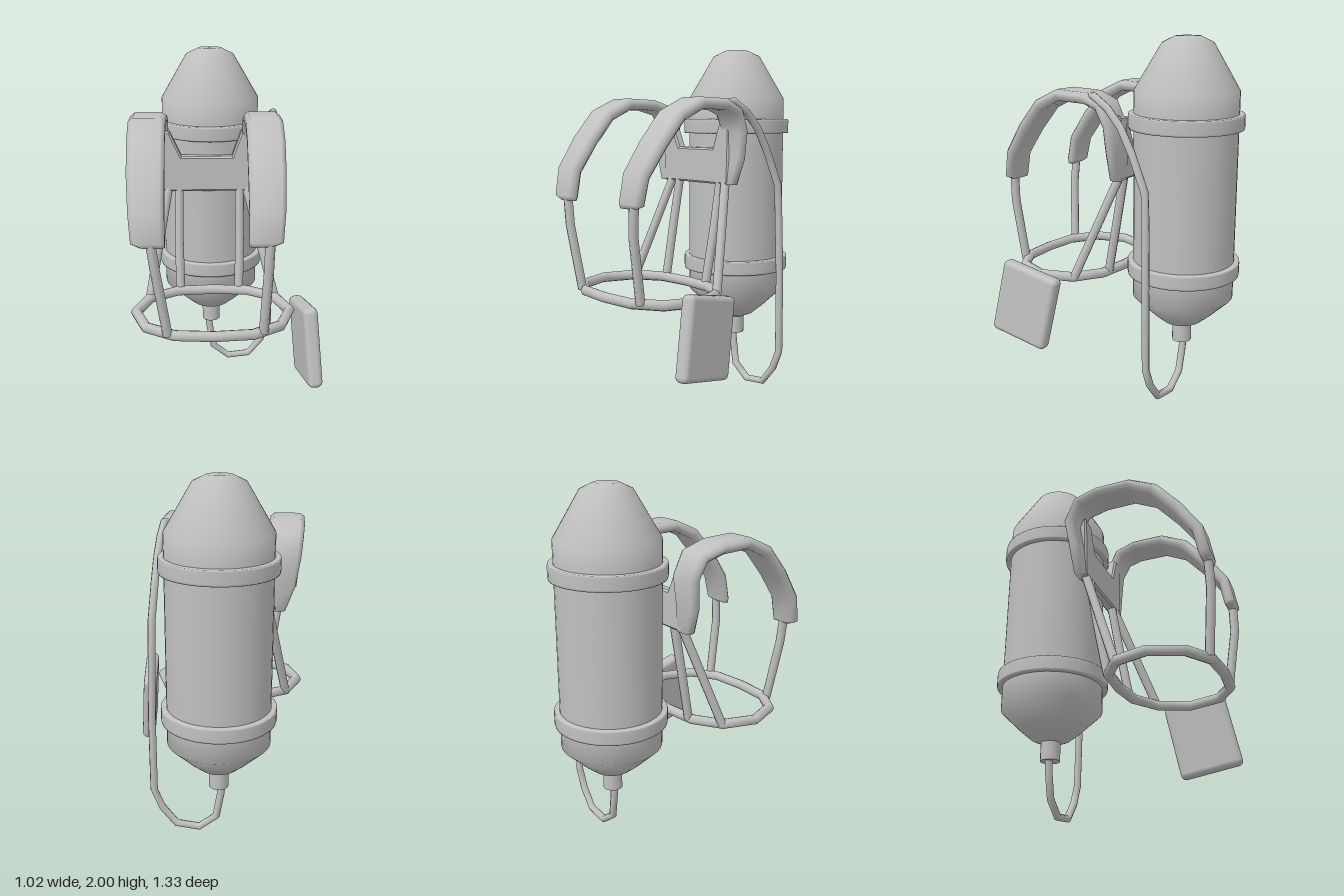
import * as THREE from 'three';
import { RoundedBoxGeometry } from 'three/addons/geometries/RoundedBoxGeometry.js';

const V = (x, y, z) => new THREE.Vector3(x, y, z);

// Straight-segment path with mitred corners, used for straps and hoses
class Polyline extends THREE.Curve {
  constructor(points, closed = false) {
    super();
    this.points = points;
    this.closed = closed;
    this.count = closed ? points.length : points.length - 1;
  }
  getPoint(t) {
    const n = this.points.length;
    let s = t * this.count;
    s = this.closed ? (s + this.count) % this.count : Math.min(Math.max(s, 0), this.count);
    const i = Math.min(Math.floor(s), this.count - 1);
    return this.points[i].clone().lerp(this.points[(i + 1) % n], s - i);
  }
  getPointAt(u) { return this.getPoint(u); }
  getTangentAt(u) {
    return this.getPoint(u + 0.001).sub(this.getPoint(u - 0.001)).normalize();
  }
}

function tube(points, radius, closed = false, sides = 8) {
  const path = new Polyline(points, closed);
  return new THREE.TubeGeometry(path, path.count, radius, sides, closed);
}

// Padded strap: rounded cross-section swept through stations [x, y, z, width, thickness]
function padGeometry(stations) {
  const section = [[0.5, -0.2], [0.5, 0.2], [0.38, 0.5], [-0.38, 0.5],
    [-0.5, 0.2], [-0.5, -0.2], [-0.38, -0.5], [0.38, -0.5]];
  const N = section.length, last = stations.length - 1;
  const pos = [], index = [];
  stations.forEach(([x, y, z, w, t], k) => {
    const a = stations[Math.max(k - 1, 0)], b = stations[Math.min(k + 1, last)];
    const ty = b[1] - a[1], tz = b[2] - a[2], len = Math.hypot(ty, tz);
    for (const [u, v] of section) {
      pos.push(x + u * w, y + v * t * tz / len, z - v * t * ty / len);
    }
  });
  const startCap = pos.length / 3, endCap = startCap + 1;
  pos.push(...stations[0].slice(0, 3), ...stations[last].slice(0, 3));
  for (let i = 0; i < N; i++) {
    const j = (i + 1) % N;
    for (let k = 0; k < last; k++) {
      const p = k * N, q = p + N;
      index.push(p + i, p + j, q + j, p + i, q + j, q + i);
    }
    index.push(startCap, j, i, endCap, last * N + i, last * N + j);
  }
  const g = new THREE.BufferGeometry();
  g.setAttribute('position', new THREE.Float32BufferAttribute(pos, 3));
  g.setIndex(index);
  g.computeVertexNormals();
  return g;
}

export function createModel() {
  const model = new THREE.Group();
  model.name = 'backpackTank';
  const grey = new THREE.MeshStandardMaterial({ color: 0xc0c0c0 });
  grey.name = 'grey';

  const add = (name, geometry, parent = model) => {
    const mesh = new THREE.Mesh(geometry, grey);
    mesh.name = name;
    parent.add(mesh);
    return mesh;
  };

  // Tank, built around its own axis
  const tank = new THREE.Group();
  tank.name = 'tank';
  tank.position.set(-0.06, 0, -0.36);
  model.add(tank);
  const lathe = (name, profile) => add(name,
    new THREE.LatheGeometry(profile.map(([r, y]) => new THREE.Vector2(r, y)), 40), tank);

  lathe('tankBody', [[0.28, 0.75], [0.28, 1.55]]);
  lathe('tankDome', [[0.28, 1.57], [0.28, 1.72], [0.135, 1.965], [0.065, 1.998], [0, 2]]);
  lathe('tankFunnel', [[0.05, 0.4], [0.11, 0.425], [0.17, 0.475], [0.28, 0.58], [0.28, 0.73]]);
  for (const [name, y] of [['lowerBand', 0.71], ['upperBand', 1.52]]) {
    lathe(name, [[0.275, y], [0.308, y], [0.31, y + 0.01], [0.31, y + 0.07], [0.308, y + 0.08], [0.275, y + 0.08]]);
  }
  const nozzle = add('nozzle', new THREE.CylinderGeometry(0.054, 0.054, 0.13, 16), tank);
  nozzle.position.y = 0.365;

  // Waist ring
  const quarter = [[0, 0.292], [0.2, 0.275], [0.35, 0.18]];
  const side = [...quarter, [0.415, 0], ...quarter.slice(1).reverse().map(([x, z]) => [x, -z])];
  const loop = [...side, ...side.map(([x, z]) => [-x, -z])];
  // the half turn of the first side supplies the rear and the far side
  add('waistRing', tube(loop.map(([x, z]) => V(x - 0.06, 0.673, z + 0.328)), 0.029, true));

  // Shoulder pads: front tip, over the shoulder, down to the yoke
  const padPath = [[1.165, 0.635, 0.12, 0.035], [1.185, 0.635, 0.165, 0.06],
    [1.325, 0.608, 0.175, 0.062], [1.48, 0.5, 0.185, 0.065], [1.62, 0.378, 0.188, 0.065],
    [1.685, 0.238, 0.19, 0.062], [1.68, 0.06, 0.19, 0.06], [1.645, -0.03, 0.185, 0.06],
    [1.54, -0.08, 0.175, 0.06], [1.38, -0.085, 0.15, 0.06], [1.24, -0.075, 0.1, 0.055]];
  const pads = { right: { x: -0.39, inward: 1, back: 0.03 }, left: { x: 0.208, inward: -1, back: 0 } };
  for (const [label, p] of Object.entries(pads)) {
    add(label + 'ShoulderPad', padGeometry(padPath.map(([y, z, w, t]) => [
      p.x + p.inward * (0.19 - w) * 0.5, y, z - (z < 0 && y > 1.5 ? p.back : 0), w, t])));
  }

  // Yoke joining the pads behind the shoulders
  const yokeShape = new THREE.Shape([[-0.34, 1.25], [0.17, 1.25], [0.18, 1.58], [0.115, 1.57],
    [0.065, 1.43], [-0.23, 1.43], [-0.295, 1.57], [-0.36, 1.58]].map(([x, y]) => new THREE.Vector2(x, y)));
  const yoke = add('yoke', new THREE.ExtrudeGeometry(yokeShape,
    { depth: 0.04, bevelThickness: 0.01, bevelSize: 0.01, bevelSegments: 1 }));
  yoke.position.z = -0.095;

  // Straps from pads and yoke down to the waist ring
  const straps = {
    rightFrontStrap: [V(-0.365, 1.19, 0.635), V(-0.345, 1.03, 0.637), V(-0.295, 0.675, 0.6)],
    leftFrontStrap: [V(0.215, 1.19, 0.635), V(0.21, 1.03, 0.637), V(0.195, 0.675, 0.585)],
    rightSideStrap: [V(-0.3, 1.26, -0.07), V(-0.41, 0.675, 0.14)],
    leftSideStrap: [V(0.14, 1.26, -0.07), V(0.29, 0.675, 0.14)],
    rightBackStrap: [V(-0.24, 1.26, -0.07), V(-0.245, 0.98, -0.02), V(-0.24, 0.675, 0.04)],
    leftBackStrap: [V(0.1, 1.26, -0.07), V(0.1, 0.98, -0.02), V(0.095, 0.675, 0.04)],
  };
  for (const [name, points] of Object.entries(straps)) add(name, tube(points, 0.025));

  // Hose from the nozzle, up the side and over the left shoulder
  add('hose', tube([V(-0.08, 0.33, -0.36), V(-0.07, 0.24, -0.36), V(-0.045, 0.1, -0.355),
    V(0.05, 0.025, -0.355), V(0.18, 0.04, -0.355), V(0.26, 0.14, -0.355), V(0.305, 0.25, -0.355),
    V(0.307, 0.7, -0.35), V(0.3, 1.0, -0.345), V(0.297, 1.23, -0.335), V(0.29, 1.42, -0.25),
    V(0.285, 1.55, -0.175), V(0.28, 1.64, -0.09), V(0.275, 1.695, 0.0), V(0.235, 1.68, 0.085)], 0.021));

  // Hip pouch, tilted
  const pouch = add('hipPouch', new RoundedBoxGeometry(0.08, 0.435, 0.36, 2, 0.03));
  const up = V(-0.035, 0.425, -0.085).normalize();
  const across = up.clone().cross(V(0.04, 0.08, 0.35)).normalize();
  const along = across.clone().cross(up);
  pouch.quaternion.setFromRotationMatrix(new THREE.Matrix4().makeBasis(across, up, along));
  pouch.position.set(0.445, 0.51, 0.367);

  return model;
}
